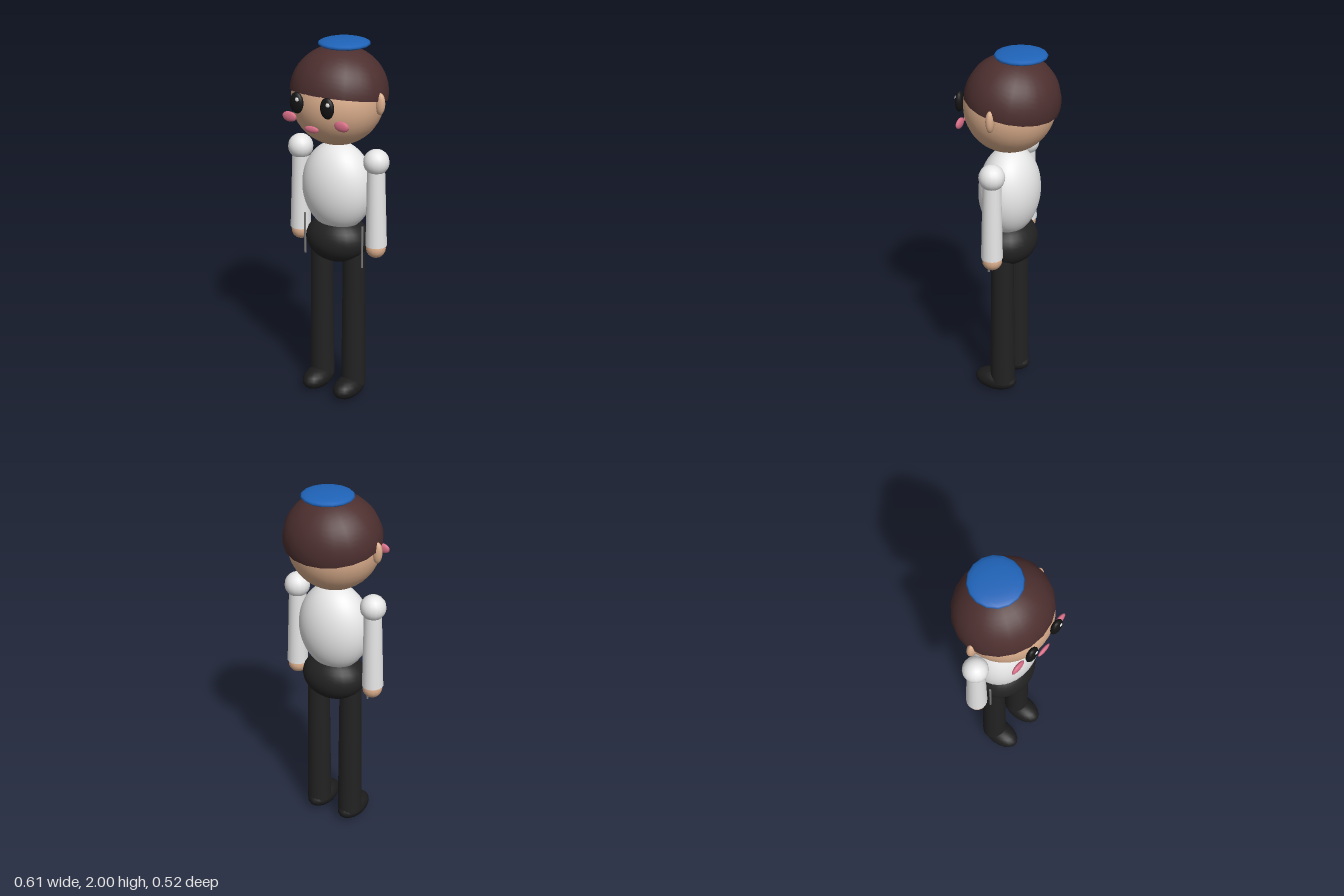
import * as THREE from 'three';

const mat = (name, color, opts = {}) => {
  const m = new THREE.MeshStandardMaterial({ color, ...opts });
  m.name = name;
  return m;
};

export function createModel() {
  const skin = mat('skin', 0xd9ac8b);
  const hairMat = mat('hair brown', 0x4d2f2f, { side: THREE.DoubleSide });
  const white = mat('shirt white', 0xe8e8e8);
  const black = mat('trouser black', 0x222222);
  const shoe = mat('shoe black', 0x1c1c1c);
  const eyeBlack = mat('eye black', 0x141414);
  const blue = mat('cap blue', 0x1f63b8);
  const pink = mat('blush pink', 0xd96f88);
  const glintWhite = mat('glint white', 0xffffff);
  const grey = mat('cord grey', 0x777777);

  const model = new THREE.Group();
  model.name = 'figure';
  const add = (name, geometry, material, x, y, z) => {
    const mesh = new THREE.Mesh(geometry, material);
    mesh.name = name;
    mesh.position.set(x, y, z);
    model.add(mesh);
    return mesh;
  };
  // Ellipsoid with centre and radii
  const blob = (name, material, [x, y, z], [rx, ry, rz], w = 20, h = 16) =>
    add(name, new THREE.SphereGeometry(1, w, h).scale(rx, ry, rz), material, x, y, z);
  // Tapered tube between two points
  const limb = (name, material, from, to, rFrom, rTo, sides = 16) => {
    const a = new THREE.Vector3(...from), b = new THREE.Vector3(...to);
    const dir = a.clone().sub(b), mid = a.clone().add(b).multiplyScalar(0.5);
    const mesh = add(name, new THREE.CylinderGeometry(rFrom, rTo, dir.length(), sides), material, mid.x, mid.y, mid.z);
    mesh.quaternion.setFromUnitVectors(new THREE.Vector3(0, 1, 0), dir.normalize());
    return mesh;
  };

  // Torso and hips
  blob('torso', white, [0, 1.225, 0], [0.2, 0.245, 0.158], 32, 24);
  blob('hips', black, [0, 0.93, 0], [0.18, 0.13, 0.148], 24, 18);

  // Head, hair shell tilted back, and round cap
  blob('head', skin, [0, 1.7, 0], [0.242, 0.24, 0.235], 32, 24);
  const hair = add('hair',
    new THREE.SphereGeometry(1, 20, 14, 0, Math.PI * 2, 0, Math.PI * 0.52).scale(0.258, 0.238, 0.245),
    hairMat, 0, 1.735, -0.015);
  hair.rotation.x = -0.19;
  blob('cap', blue, [0, 1.975, -0.06], [0.135, 0.025, 0.135], 16, 10);
  blob('mouth', pink, [0, 1.597, 0.238], [0.043, 0.018, 0.01], 12, 8);

  // Paired parts
  for (const [side, s] of [['left', 1], ['right', -1]]) {
    blob(`${side}Eye`, eyeBlack, [s * 0.091, 1.72, 0.235], [0.04, 0.055, 0.021], 12, 10);
    blob(`${side}EyeGlint`, glintWhite, [s * 0.091 + 0.012, 1.741, 0.25], [0.012, 0.012, 0.006], 8, 6);
    blob(`${side}Cheek`, pink, [s * 0.157, 1.63, 0.206], [0.044, 0.027, 0.013], 12, 8);
    blob(`${side}Ear`, skin, [s * 0.252, 1.71, 0], [0.028, 0.057, 0.022], 10, 10);

    blob(`${side}Shoulder`, white, [s * 0.235, 1.4, 0], [0.068, 0.068, 0.068], 16, 12);
    limb(`${side}Sleeve`, white, [s * 0.233, 1.4, 0], [s * 0.241, 0.94, 0], 0.046, 0.057);
    blob(`${side}Hand`, skin, [s * 0.239, 0.922, 0], [0.053, 0.053, 0.053], 14, 10);
    limb(`${side}Cord`, grey, [s * 0.182, 1.045, 0.045], [s * 0.182, 0.81, 0.045], 0.006, 0.006, 8);

    limb(`${side}Leg`, black, [s * 0.103, 0.9, 0], [s * 0.104, 0.07, 0], 0.06, 0.069);
    blob(`${side}Shoe`, shoe, [s * 0.102, 0.062, 0.042], [0.072, 0.06, 0.122], 18, 12);
  }
  return model;
}
